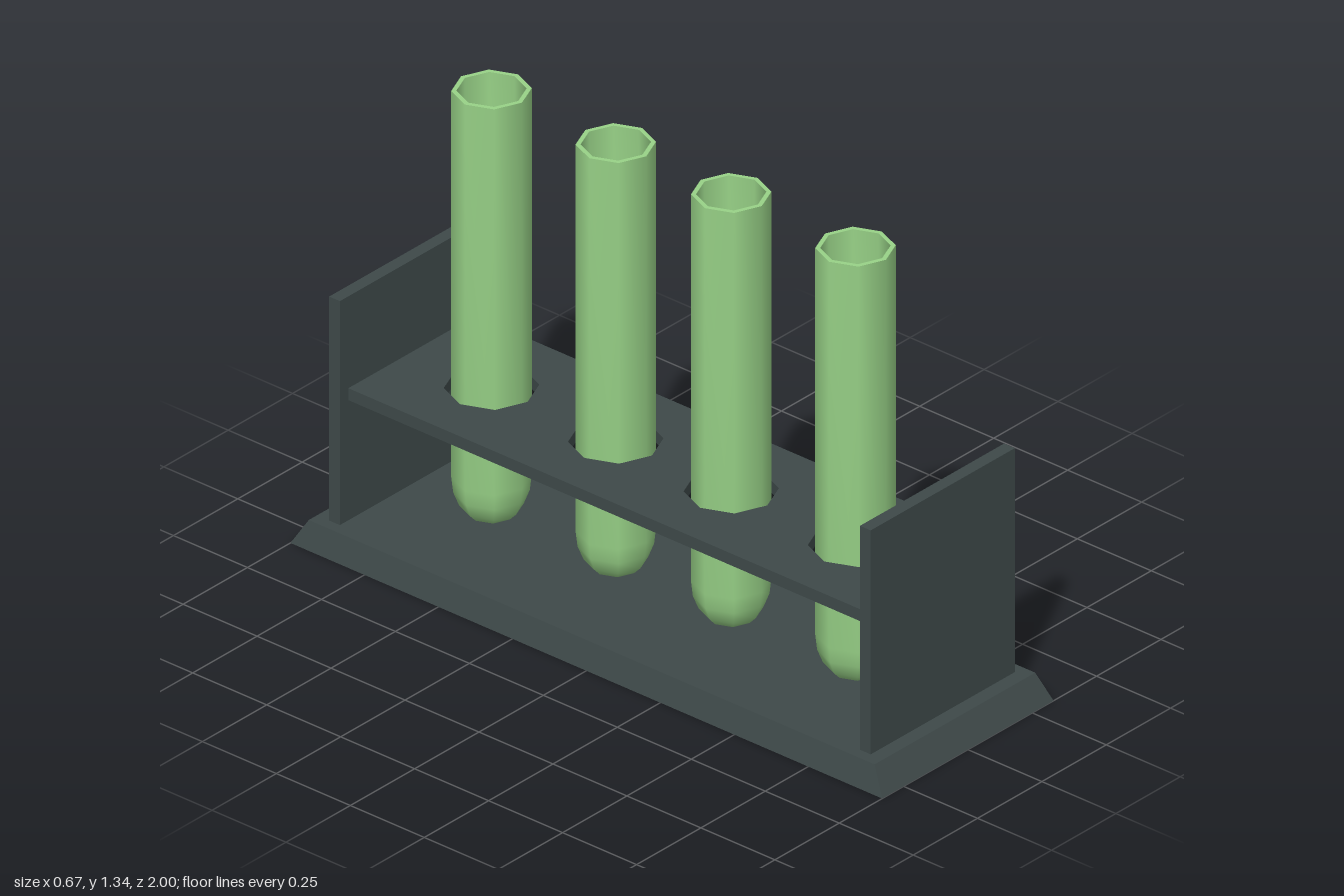
import * as THREE from 'three';
import { toCreasedNormals } from 'three/addons/utils/BufferGeometryUtils.js';

const SIDES = 8;
const TUBE_Z = [0.62, 0.2, -0.19, -0.61];

function material(name, color) {
  const m = new THREE.MeshStandardMaterial({ color });
  m.name = name;
  return m;
}

function lathe(points) {
  const g = new THREE.LatheGeometry(points.map(([r, y]) => new THREE.Vector2(r, y)), SIDES);
  return toCreasedNormals(g, 0.9);
}

// Box whose top face is narrowed to give sloping sides
function baseGeometry() {
  const g = new THREE.BoxGeometry(0.666, 0.075, 2).translate(0, 0.0375, 0).toNonIndexed();
  const p = g.attributes.position;
  for (let i = 0; i < p.count; i++) {
    if (p.getY(i) > 0.05) p.setXYZ(i, p.getX(i) * 0.312 / 0.333, p.getY(i), p.getZ(i) * 0.956);
  }
  g.computeVertexNormals();
  return g;
}

// Shelf outline with one octagonal hole per tube
function shelfGeometry() {
  const w = 0.247, l = 0.882, s = new THREE.Shape();
  s.moveTo(-w, -l).lineTo(w, -l).lineTo(w, l).lineTo(-w, l).closePath();
  for (const z of TUBE_Z) {
    const corners = [];
    for (let i = 0; i < SIDES; i++) {
      const a = -i / SIDES * Math.PI * 2;
      corners.push(new THREE.Vector2(0.122 * Math.cos(a), -z + 0.122 * Math.sin(a)));
    }
    s.holes.push(new THREE.Path(corners).closePath());
  }
  return new THREE.ExtrudeGeometry(s, { depth: 0.035, bevelEnabled: false })
    .rotateX(-Math.PI / 2).translate(0, 0.428, 0);
}

export function createModel() {
  const model = new THREE.Group();
  model.name = 'testTubeRack';
  const rack = material('darkRack', 0x3e4949);
  const glass = material('greenGlass', 0x98d287);
  const liquids = [
    material('magentaLiquid', 0xa80cae), material('greenLiquid', 0x3ec822),
    material('blueLiquid', 0x229fb2), material('yellowLiquid', 0xb0bd44),
  ];

  const add = (name, geometry, mat, x = 0, y = 0, z = 0) => {
    const mesh = new THREE.Mesh(geometry, mat);
    mesh.name = name;
    mesh.position.set(x, y, z);
    model.add(mesh);
  };

  // Rack: base, shelf and two end panels
  add('base', baseGeometry(), rack);
  add('shelf', shelfGeometry(), rack);
  const panel = new THREE.BoxGeometry(0.56, 0.66, 0.036);
  add('frontPanel', panel, rack, 0, 0.403, 0.897);
  add('backPanel', panel, rack, 0, 0.403, -0.897);

  // Hollow tubes: up the outside, over the rim, down the inside
  const tube = lathe([
    [0, 0.095], [0.062, 0.095], [0.083, 0.117], [0.098, 0.155], [0.103, 0.2],
    [0.103, 1.335], [0.09, 1.335],
    [0.09, 0.2], [0.085, 0.16], [0.072, 0.13], [0.054, 0.11], [0, 0.11],
  ]);
  const fill = lathe([
    [0, 0.113], [0.052, 0.113], [0.07, 0.133], [0.083, 0.162], [0.088, 0.2],
    [0.088, 0.75], [0, 0.75],
  ]);
  TUBE_Z.forEach((z, i) => {
    add('tube' + (i + 1), tube, glass, 0, 0, z);
    add('liquid' + (i + 1), fill, liquids[i], 0, 0, z);
  });
  return model;
}
